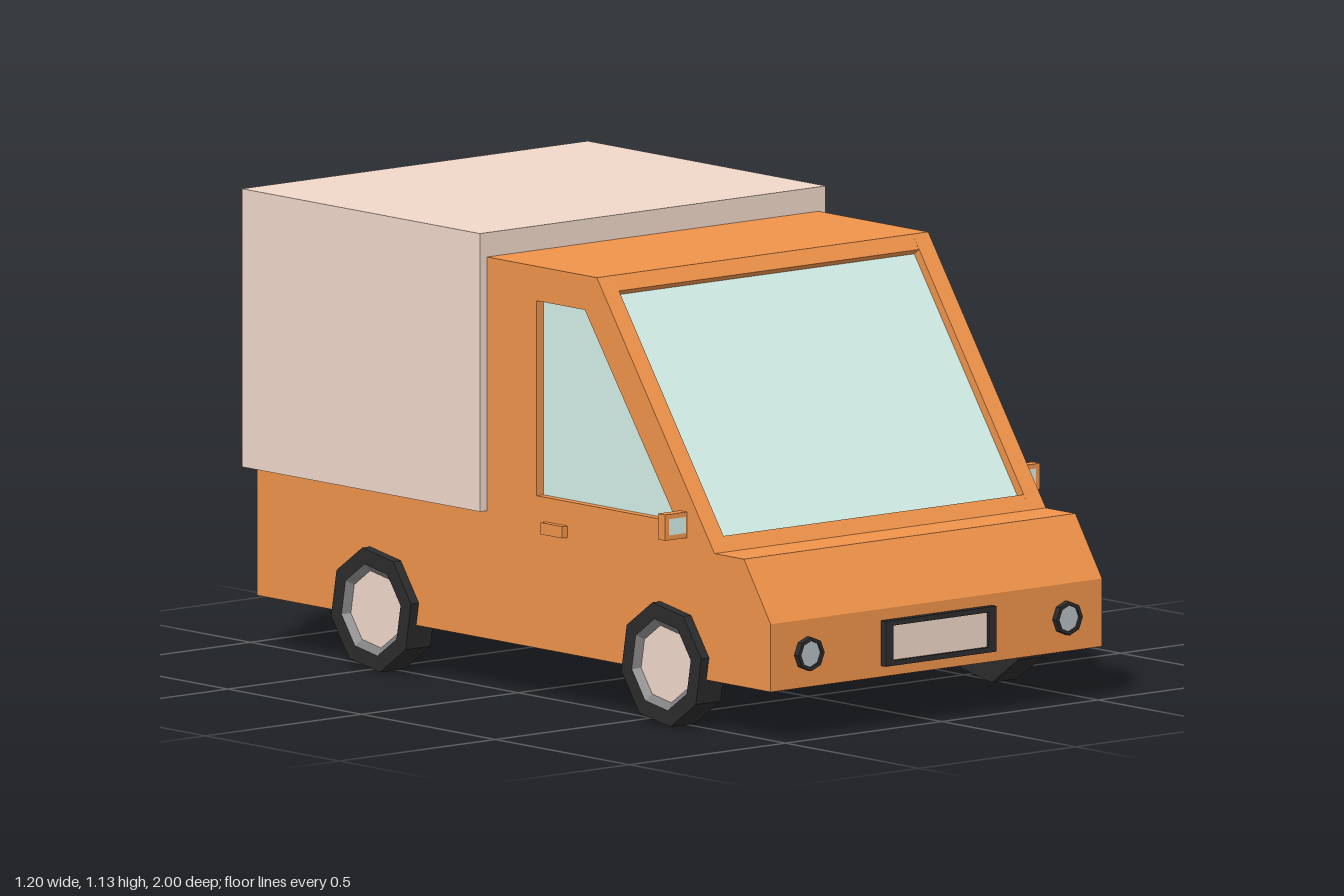
import * as THREE from 'three';

const material = (color) => new THREE.MeshStandardMaterial({ color, flatShading: true });

export function createModel() {
  const orange = material(0xf0934a), beige = material(0xf0d8c9), glass = material(0xd4efe9);
  const black = material(0x2c2c2c), grey = material(0x808080), lens = material(0xb4bcc2), red = material(0xb4535a);

  const model = new THREE.Group();
  model.name = 'boxTruck';

  function add(name, geometry, mat, parent = model) {
    const mesh = new THREE.Mesh(geometry, mat);
    mesh.name = name;
    parent.add(mesh);
    return mesh;
  }

  const points = (list) => list.map(([a, b]) => new THREE.Vector2(a, b));

  // Extrudes a side profile of [z, y] points from x0 to x1
  function slab(profile, x0, x1, hole) {
    const shape = new THREE.Shape(points(profile));
    if (hole) shape.holes.push(new THREE.Path(points(hole)));
    return new THREE.ExtrudeGeometry(shape, { depth: x1 - x0, bevelEnabled: false })
      .rotateY(-Math.PI / 2).translate(x1, 0, 0);
  }

  function box(name, [x0, x1], [y0, y1], [z0, z1], mat, parent) {
    const geometry = new THREE.BoxGeometry(x1 - x0, y1 - y0, z1 - z0)
      .translate((x0 + x1) / 2, (y0 + y1) / 2, (z0 + z1) / 2);
    return add(name, geometry, mat, parent);
  }

  // Outline with raised rim and a sunken panel, facing +z with its back at z = 0
  function framed(name, outer, inner, depth, rimMat, panelMat, parent = model) {
    const group = new THREE.Group();
    group.name = name;
    const rim = new THREE.Shape(points(outer));
    rim.holes.push(new THREE.Path(points(inner)));
    add(name + 'Rim', new THREE.ExtrudeGeometry(rim, { depth, bevelEnabled: false }), rimMat, group);
    add(name + 'Panel', new THREE.ExtrudeGeometry(new THREE.Shape(points(inner)),
      { depth: depth * 0.6, bevelEnabled: false }), panelMat, group);
    parent.add(group);
    return group;
  }

  const rect = (w, h) => [[-w, -h], [w, -h], [w, h], [-w, h]];
  const octagon = (r) => Array.from({ length: 8 }, (_, i) =>
    [r * Math.cos(i * Math.PI / 4), r * Math.sin(i * Math.PI / 4)]);

  // Body: a core with a sunken windscreen, between two side panels
  const nose = [[-0.94, 0.13], [0.98, 0.13], [0.98, 0.297], [0.88, 0.445], [0.77, 0.445]];
  const roof = [[0.33, 1.07], [-0.08, 1.07], [-0.08, 0.445], [-0.94, 0.445]];
  const notch = [[0.745, 0.48], [0.719, 0.462], [0.328, 1.017], [0.354, 1.035]];
  add('bodyCore', slab([...nose, ...notch, ...roof], -0.48, 0.48), orange);
  add('windscreen', slab([[0.719, 0.462], [0.727, 0.467], [0.336, 1.022], [0.328, 1.017]], -0.48, 0.48), glass);

  // Cargo box
  box('cargoBox', [-0.553, 0.553], [0.445, 1.13], [-0.97, -0.08], beige);

  // Parts found on both sides, built on +x and mirrored
  const windowOutline = [[0.105, 0.505], [0.63, 0.505], [0.285, 0.985], [0.105, 0.985]];
  for (const side of [1, -1]) {
    const half = new THREE.Group();
    half.name = side > 0 ? 'leftSide' : 'rightSide';
    half.scale.x = side;
    model.add(half);

    add('sidePanel', slab([...nose, ...roof], 0.48, 0.53, windowOutline), orange, half);
    add('sideWindow', slab(windowOutline, 0.48, 0.508), glass, half);
    box('doorHandle', [0.525, 0.547], [0.416, 0.445], [0.14, 0.22], orange, half);

    // Wing mirror, its glass facing back
    const mirror = framed('wingMirror', rect(0.04, 0.032), rect(0.027, 0.02), 0.027, orange, glass, half);
    mirror.rotation.y = Math.PI;
    mirror.position.set(0.56, 0.503, 0.667);

    // Wheels: eight-sided tyre, bevelled rim and hubcap
    for (const [end, z] of [['front', 0.6], ['rear', -0.485]]) {
      const wheel = new THREE.Group();
      wheel.name = end + 'Wheel';
      wheel.position.set(0, 0.153, z);
      half.add(wheel);
      const turned = (profile) => new THREE.LatheGeometry(points(profile), 8, 32.5 * Math.PI / 180)
        .rotateZ(-Math.PI / 2);
      add('tyre', turned([[0, 0.475], [0.153, 0.475], [0.153, 0.555], [0.113, 0.555]]), black, wheel);
      add('rim', turned([[0.113, 0.555], [0.095, 0.54]]), grey, wheel);
      add('hubcap', turned([[0.095, 0.54], [0, 0.54]]), beige, wheel);
    }

    // Lamps
    framed('headlight', octagon(0.042), octagon(0.033), 0.016, black, lens, half)
      .position.set(0.413, 0.213, 0.98);
    const tail = framed('tailLight', rect(0.036, 0.027), rect(0.027, 0.018), 0.014, black, red, half);
    tail.rotation.y = Math.PI;
    tail.position.set(0.465, 0.192, -0.94);
  }

  // Number plates without lettering
  for (const [name, z, turn] of [['frontPlate', 0.98, 0], ['rearPlate', -0.94, Math.PI]]) {
    const plate = framed(name, rect(0.177, 0.056), rect(0.153, 0.043), 0.018, black, beige);
    plate.position.set(0, 0.213, z);
    plate.rotation.y = turn;
  }

  // Exhaust: square pipe pointing back
  const exhaust = framed('exhaust', rect(0.026, 0.025), rect(0.015, 0.014), 0.1, black, black);
  exhaust.rotation.y = Math.PI;
  exhaust.position.set(0.376, 0.141, -0.9);

  return model;
}
